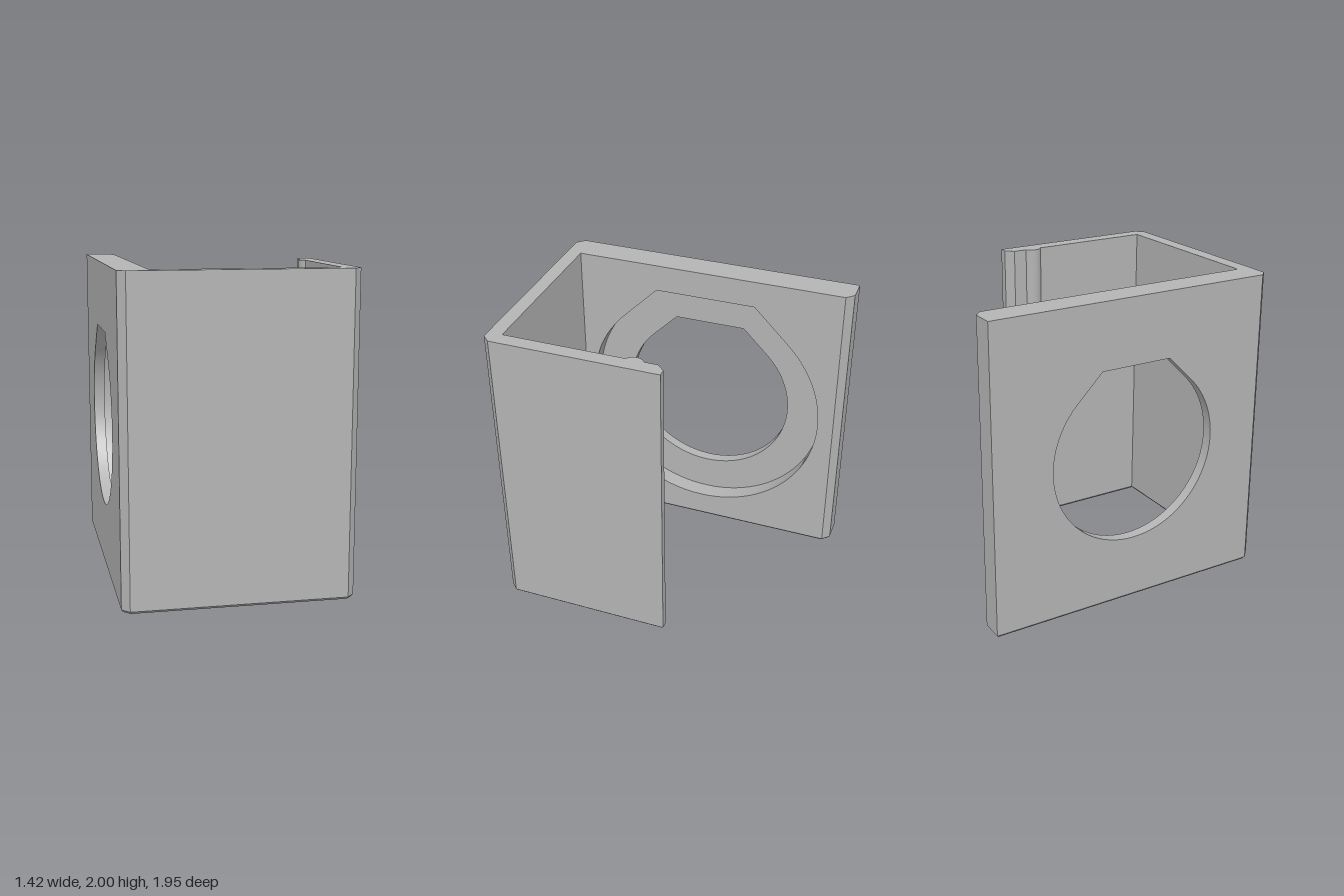
import * as THREE from 'three';
import { toCreasedNormals } from 'three/addons/utils/BufferGeometryUtils.js';

const H = 2, FOOT = 0.015, INSET = 0.012;          // height and bottom chamfer
const OUTER_X = -0.712, LEDGE_X = -0.64, INNER_X = -0.522; // thick wall planes
const END_Z = 0.975, CORNER_Z = 0.927, FLOOR_Z = 0.88;
const V = (x, y) => new THREE.Vector2(x, y);

// Plan outline, counterclockwise seen from above, as (x, -z)
function planOutline() {
  const pts = [
    [OUTER_X, CORNER_Z], [-0.665, END_Z], [0.665, END_Z], [0.712, CORNER_Z],
    [0.712, -0.155], [0.663, -0.155], [0.615, -0.107],
  ];
  // rounded snap ridge on the inside of the short wall
  const r = 0.064, half = 1.06, cx = 0.615 + r * Math.cos(half), cz = 0.037;
  for (let i = 0; i <= 12; i++) {
    const a = -half + (2 * half * i) / 12;
    pts.push([cx - r * Math.cos(a), cz + r * Math.sin(a)]);
  }
  pts.push([0.615, FLOOR_Z], [INNER_X, FLOOR_Z], [INNER_X, -CORNER_Z], [-0.57, -END_Z], [OUTER_X, -END_Z]);
  return pts.map(([x, z]) => V(x, -z));
}

// Mitred inward offset of a counterclockwise outline
function insetOutline(pts, d) {
  const n = pts.length;
  const normal = (a, b) => { const e = b.clone().sub(a).normalize(); return V(-e.y, e.x); };
  return pts.map((p, i) => {
    const n1 = normal(pts[(i + n - 1) % n], p), n2 = normal(p, pts[(i + 1) % n]);
    return p.clone().addScaledVector(n1.clone().add(n2), d / (1 + n1.dot(n2)));
  });
}

function fromTriangles(pos) {
  const g = new THREE.BufferGeometry();
  g.setAttribute('position', new THREE.Float32BufferAttribute(pos, 3));
  return toCreasedNormals(g, 0.5);
}
const quad = (pos, a, b, c, d) => pos.push(...a, ...b, ...c, ...a, ...c, ...d);

// Upright channel with a chamfered foot; the two pierced faces are left open
function channelGeometry() {
  const top = planOutline(), foot = insetOutline(top, INSET), pos = [];
  const at = (p, y) => [p.x, y, -p.y];
  top.forEach((a, i) => {
    const j = (i + 1) % top.length, b = top[j];
    quad(pos, at(foot[i], 0), at(foot[j], 0), at(b, FOOT), at(a, FOOT));
    const pierced = a.x < -0.5 && a.x === b.x;
    if (!pierced) quad(pos, at(a, FOOT), at(b, FOOT), at(b, H), at(a, H));
  });
  for (const [i, j, k] of THREE.ShapeUtils.triangulateShape(top, [])) {
    pos.push(...at(top[i], H), ...at(top[j], H), ...at(top[k], H));
    pos.push(...at(foot[i], 0), ...at(foot[k], 0), ...at(foot[j], 0));
  }
  return fromTriangles(pos);
}

// Circle with 45 degree shoulders and a flat top, centred at mid height
function teardrop(r) {
  const pts = [], n = 72, w = r * (Math.SQRT2 - 1);
  for (let i = 0; i <= n; i++) {
    const a = Math.PI * (0.75 + (1.5 * i) / n);
    pts.push(V(r * Math.cos(a), 1 + r * Math.sin(a)));
  }
  pts.push(V(w, 1 + r), V(-w, 1 + r));
  return pts;
}

// Flat face across x with a hole, facing dir
function piercedFace(points, hole, x, dir) {
  const shape = new THREE.Shape(points);
  shape.holes.push(new THREE.Path(hole));
  return new THREE.ShapeGeometry(shape).rotateY((dir * Math.PI) / 2).translate(x, 0, 0);
}

// Inward facing rim of an opening between two x planes
function rimGeometry(points, x0, x1) {
  const pos = [];
  points.forEach((a, i) => {
    const b = points[(i + 1) % points.length];
    quad(pos, [x0, a.y, a.x], [x0, b.y, b.x], [x1, b.y, b.x], [x1, a.y, a.x]);
  });
  return fromTriangles(pos);
}

export function createModel() {
  const group = new THREE.Group();
  group.name = 'channelBracket';
  const grey = new THREE.MeshStandardMaterial({ color: 0xb4b4b4 });
  grey.name = 'grey';
  const add = (name, geometry) => {
    const mesh = new THREE.Mesh(geometry, grey);
    mesh.name = name;
    group.add(mesh);
  };
  const rect = (u0, u1) => [V(u0, FOOT), V(u1, FOOT), V(u1, H), V(u0, H)];
  const hole = teardrop(0.576), recess = teardrop(0.82);

  add('channelWalls', channelGeometry());
  // thick wall: stepped opening
  add('wallOuterFace', piercedFace(rect(-END_Z, CORNER_Z), hole, OUTER_X, -1));
  add('wallInnerFace', piercedFace(rect(-FLOOR_Z, CORNER_Z), recess, INNER_X, 1));
  add('recessLedge', piercedFace(recess, hole, LEDGE_X, 1));
  add('holeRim', rimGeometry(hole, OUTER_X, LEDGE_X));
  add('recessRim', rimGeometry(recess, LEDGE_X, INNER_X));
  return group;
}
